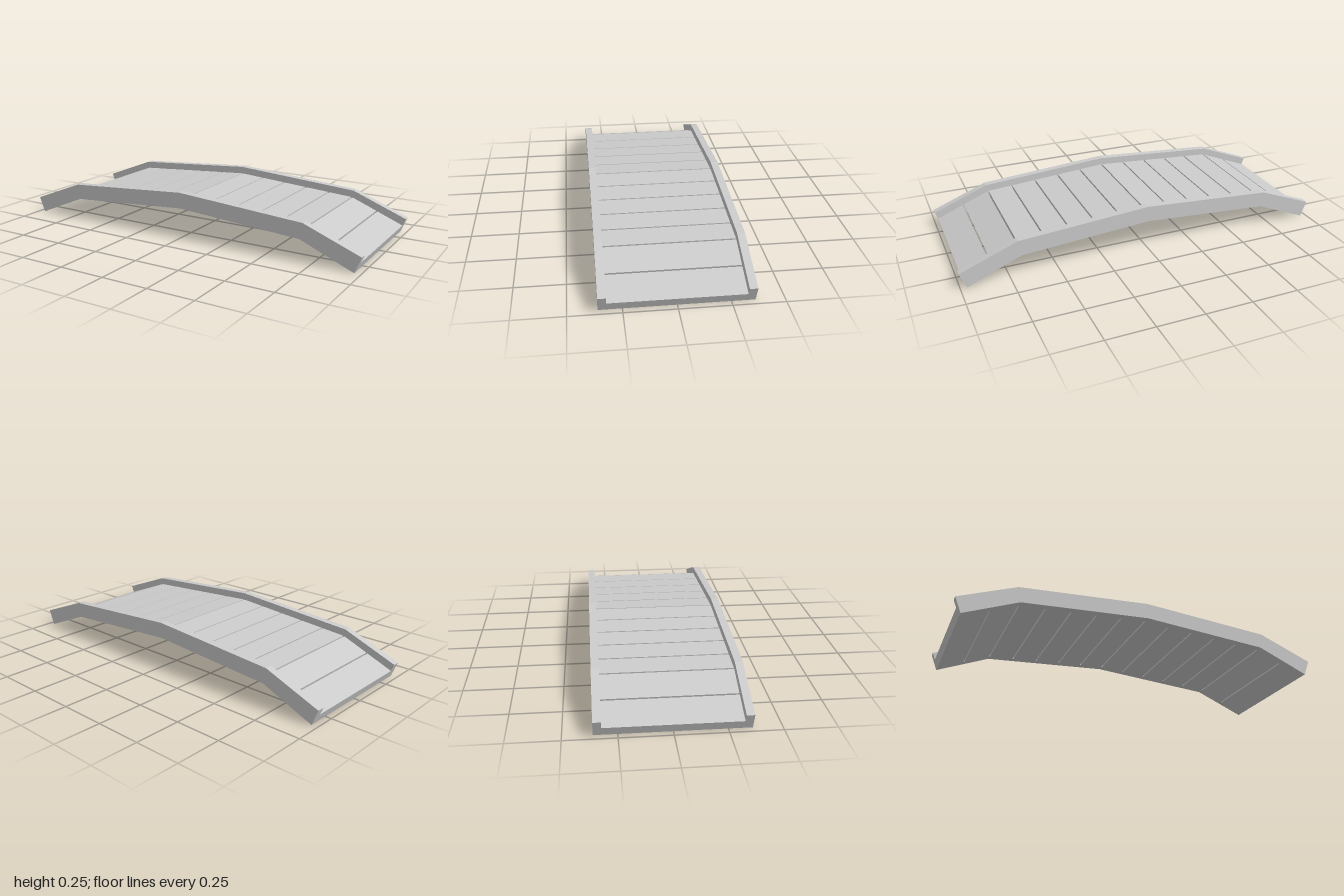
import * as THREE from 'three';

const material = new THREE.MeshStandardMaterial({ color: 0xcccccc, flatShading: true });

// Side profile of one half of the arch, from crown to foot
const topLine = [[0, 0.25], [0.70, 0.20], [1, 0.083]];
const bottomLine = [[0, 0.165], [0.685, 0.117], [0.967, 0]];
const railInner = 0.323, railOuter = 0.362;
const deckHeight = 0.54; // deck surface as a fraction of the rail depth
const gap = 0.008;

const lerp = (a, b, t) => [a[0] + (b[0] - a[0]) * t, a[1] + (b[1] - a[1]) * t];

// Extrude a side profile between two z positions
function extrudeProfile(name, points, z0, z1) {
  const shape = new THREE.Shape(points.map(([x, y]) => new THREE.Vector2(x, y)));
  const geometry = new THREE.ExtrudeGeometry(shape, { depth: z1 - z0, bevelEnabled: false });
  geometry.translate(0, 0, z0);
  const mesh = new THREE.Mesh(geometry, material);
  mesh.name = name;
  return mesh;
}

// Full-span polyline from the half profile, left foot to right foot
const mirrored = (line) => [...line.slice(1).reverse().map(([x, y]) => [-x, y]), ...line];

export function createModel() {
  const bridge = new THREE.Group();
  bridge.name = 'archedFootbridge';

  // Side rails
  const railProfile = [...mirrored(bottomLine), ...mirrored(topLine).reverse()];
  bridge.add(extrudeProfile('leftRail', railProfile, railInner, railOuter));
  bridge.add(extrudeProfile('rightRail', railProfile, -railOuter, -railInner));

  // Deck planks: five on each gentle slope, two on each steep end
  const deck = new THREE.Group();
  deck.name = 'deck';
  const planksPerSegment = [5, 2];
  for (const side of [1, -1]) {
    planksPerSegment.forEach((count, s) => {
      const [b0, b1, t0, t1] = [bottomLine[s], bottomLine[s + 1], topLine[s], topLine[s + 1]];
      const length = Math.hypot(b1[0] - b0[0], b1[1] - b0[1]);
      const inset = gap / 2 / length;
      for (let i = 0; i < count; i++) {
        const isEnd = s === 1 && i === count - 1;
        const u0 = i / count + inset;
        const u1 = isEnd ? 1 : (i + 1) / count - inset;
        const low = [lerp(b0, b1, u0), lerp(b0, b1, u1)];
        const high = [u0, u1].map((u, k) => lerp(low[k], lerp(t0, t1, u), deckHeight));
        const outline = [low[0], low[1], high[1], high[0]].map(([x, y]) => [x * side, y]);
        deck.add(extrudeProfile('plank', outline, -railInner, railInner));
      }
    });
  }
  bridge.add(deck);
  return bridge;
}
